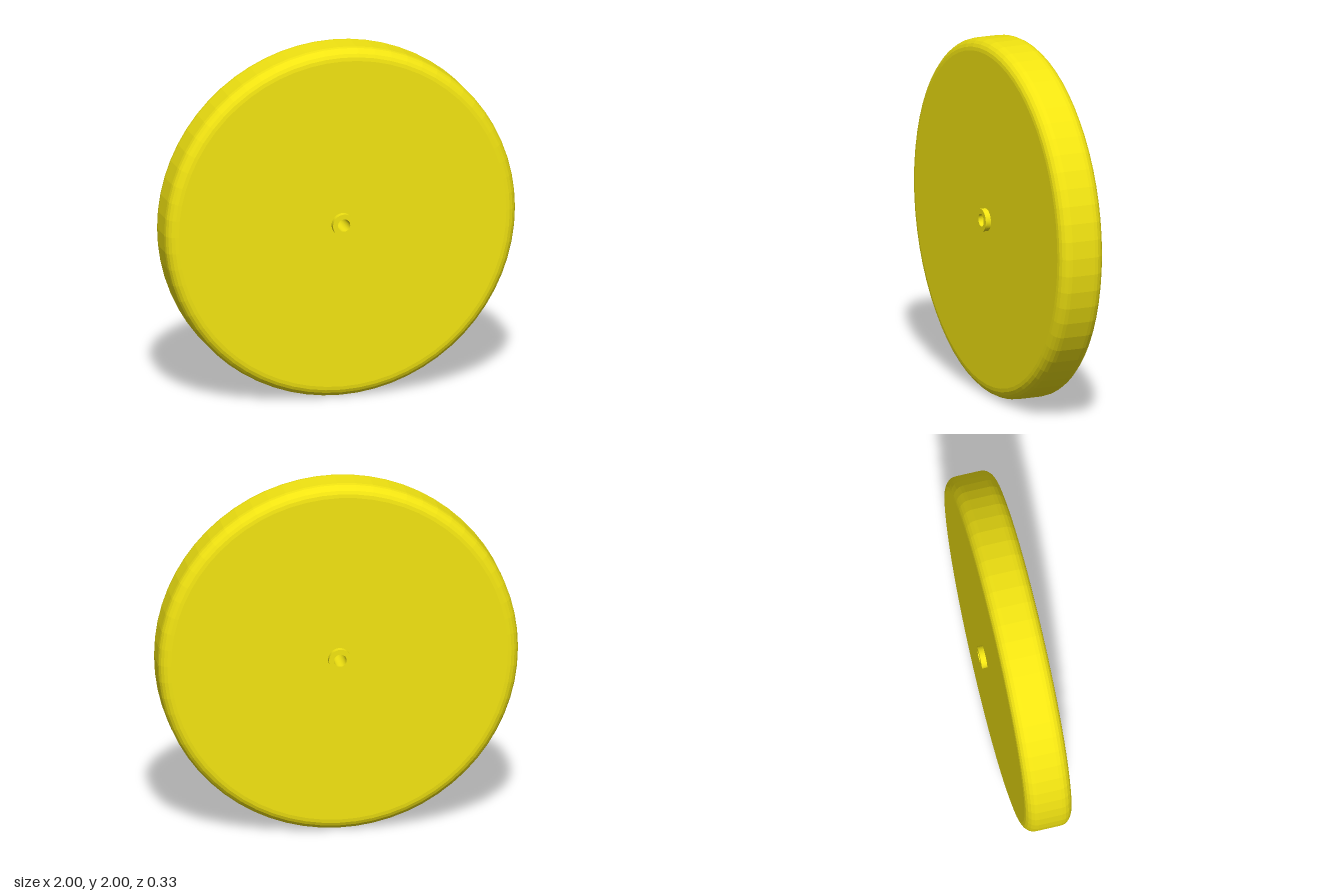
import * as THREE from 'three';

const SEGMENTS = 64;
const RADIUS = 1, HALF_WIDTH = 0.132, ROUND = 0.065;
const HUB_RADIUS = 0.063, BORE_RADIUS = 0.035, HUB_HALF = 0.163;

// Closed ring turned about the z axis from [radius, depth] points
function turned(name, points, material) {
  const profile = points.map(([r, d]) => new THREE.Vector2(r, d));
  profile.push(profile[0].clone());
  const geometry = new THREE.LatheGeometry(profile, SEGMENTS);
  geometry.rotateX(Math.PI / 2);
  const mesh = new THREE.Mesh(geometry, material);
  mesh.name = name;
  return mesh;
}

export function createModel() {
  const group = new THREE.Group();
  group.name = 'wheel';
  const yellow = new THREE.MeshStandardMaterial({ color: 0xf2e411, flatShading: true });

  // Wheel disc: flat faces with a rounded shoulder on each side
  const steps = 5;
  const disc = [[BORE_RADIUS, -HALF_WIDTH]];
  for (const side of [-1, 1]) {
    for (let i = 0; i <= steps; i++) {
      const t = (side < 0 ? i - steps : i) / steps * Math.PI / 2;
      disc.push([
        RADIUS - ROUND + ROUND * Math.cos(t),
        side * (HALF_WIDTH - ROUND) + ROUND * Math.sin(t),
      ]);
    }
  }
  disc.push([BORE_RADIUS, HALF_WIDTH]);

  // Hub sleeve with an open bore, standing proud of both faces
  const hub = [
    [BORE_RADIUS, -HUB_HALF], [HUB_RADIUS, -HUB_HALF],
    [HUB_RADIUS, HUB_HALF], [BORE_RADIUS, HUB_HALF],
  ];

  // Leave the bore wall to the hub so the two do not overlap
  disc[0][0] = disc[disc.length - 1][0] = HUB_RADIUS - 0.005;

  const wheel = new THREE.Group();
  wheel.name = 'wheelAssembly';
  wheel.add(turned('wheelDisc', disc, yellow), turned('hubSleeve', hub, yellow));
  wheel.position.y = RADIUS;
  wheel.rotation.y = -0.005; // very slight turn
  group.add(wheel);
  return group;
}
